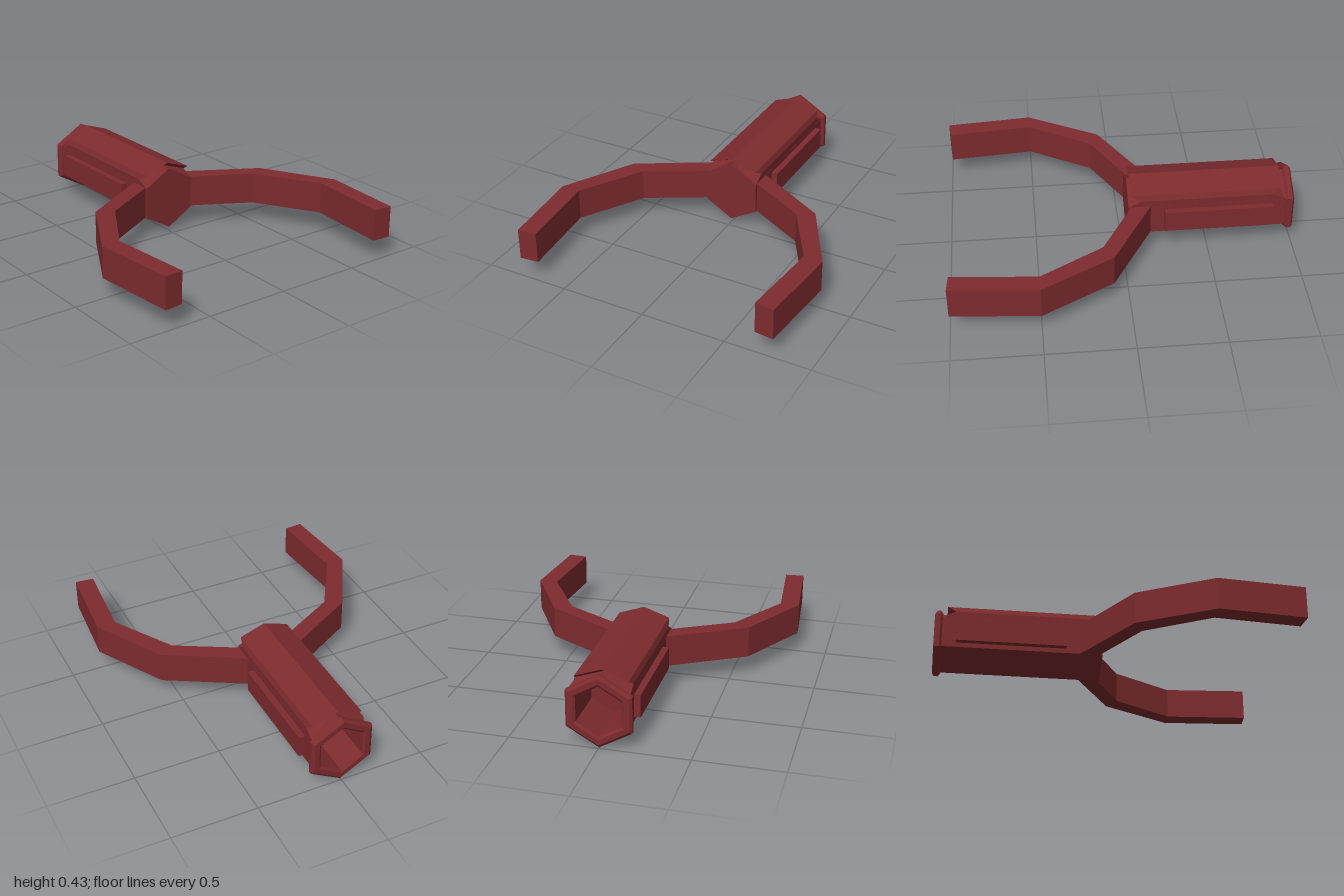
import * as THREE from 'three';

const material = new THREE.MeshStandardMaterial({ color: 0x7d2b2e, flatShading: true });
const AXIS_Y = 0.215;

function part(name, geometry) {
  const mesh = new THREE.Mesh(geometry, material);
  mesh.name = name;
  return mesh;
}

// Hexagonal turning about the x axis; profile points are [x, radius].
function hexTurned(name, profile) {
  const points = profile.map(([x, r]) => new THREE.Vector2(r, x));
  const geometry = new THREE.LatheGeometry(points, 6, Math.PI / 2);
  geometry.rotateZ(-Math.PI / 2).translate(0, AXIS_Y, 0);
  return part(name, geometry);
}

// Ridge cover: stacked chevrons, each [xMin, xMax, ridgeY, eaveY, eaveZ], notched at both ends.
function ridgeCover() {
  const layers = [
    [-0.95, -0.04, 0.39, 0.308, 0.16],
    [-0.88, -0.11, 0.4, 0.345, 0.161],
    [-0.93, -0.05, 0.43, 0.378, 0.148],
  ];
  const positions = [];
  const index = [];
  for (const [x0, x1, ridge, eave, z] of layers) {
    positions.push(x0, eave, z, x1, eave, z, x1, ridge, 0, x1, eave, -z, x0, eave, -z, x0, ridge, 0);
  }
  for (let l = 0; l < layers.length - 1; l++) {
    for (let i = 0; i < 6; i++) {
      const a = l * 6 + i, b = l * 6 + ((i + 1) % 6);
      index.push(a, b, b + 6, a, b + 6, a + 6);
    }
  }
  // The two sloping top faces
  const t = (layers.length - 1) * 6;
  index.push(t, t + 1, t + 2, t, t + 2, t + 5, t + 5, t + 2, t + 3, t + 5, t + 3, t + 4);
  const geometry = new THREE.BufferGeometry();
  geometry.setAttribute('position', new THREE.Float32BufferAttribute(positions, 3));
  geometry.setIndex(index);
  geometry.computeVertexNormals();
  return part('ridgeCover', geometry);
}

// Bent prong, drawn in plan for one side and extruded upward.
function prong(name, side) {
  const plan = [
    [-0.21, 0.08], [0.085, 0.595], [0.5, 0.825], [1, 0.782],
    [0.99, 0.672], [0.5, 0.715], [0.138, 0.5], [-0.095, 0.08],
  ];
  const shape = new THREE.Shape(plan.map(([x, z]) => new THREE.Vector2(x, -z * side)));
  const geometry = new THREE.ExtrudeGeometry(shape, { depth: 0.185, bevelEnabled: false });
  geometry.rotateX(-Math.PI / 2).translate(0, 0.123, 0);
  return part(name, geometry);
}

export function createModel() {
  const model = new THREE.Group();
  model.name = 'forkedHandle';

  // Hexagonal grip with an open socket at the rear
  model.add(hexTurned('grip', [
    [-0.7, 0], [-0.7, 0.145], [-0.97, 0.145], [-0.97, 0.185], [-0.035, 0.185], [-0.035, 0],
  ]));

  // Chamfered collar round the socket
  model.add(hexTurned('collar', [
    [-0.96, 0.145], [-0.99, 0.145], [-1, 0.16], [-1, 0.193], [-0.988, 0.21],
    [-0.967, 0.21], [-0.955, 0.193], [-0.955, 0.15],
  ]));

  model.add(ridgeCover());

  // Raised side panels and the two prongs
  for (const [label, side] of [['front', 1], ['back', -1]]) {
    const panel = part(label + 'Panel', new THREE.BoxGeometry(0.63, 0.13, 0.06));
    panel.position.set(-0.56, AXIS_Y, side * 0.167);
    model.add(panel, prong(label + 'Prong', side));
  }
  return model;
}
